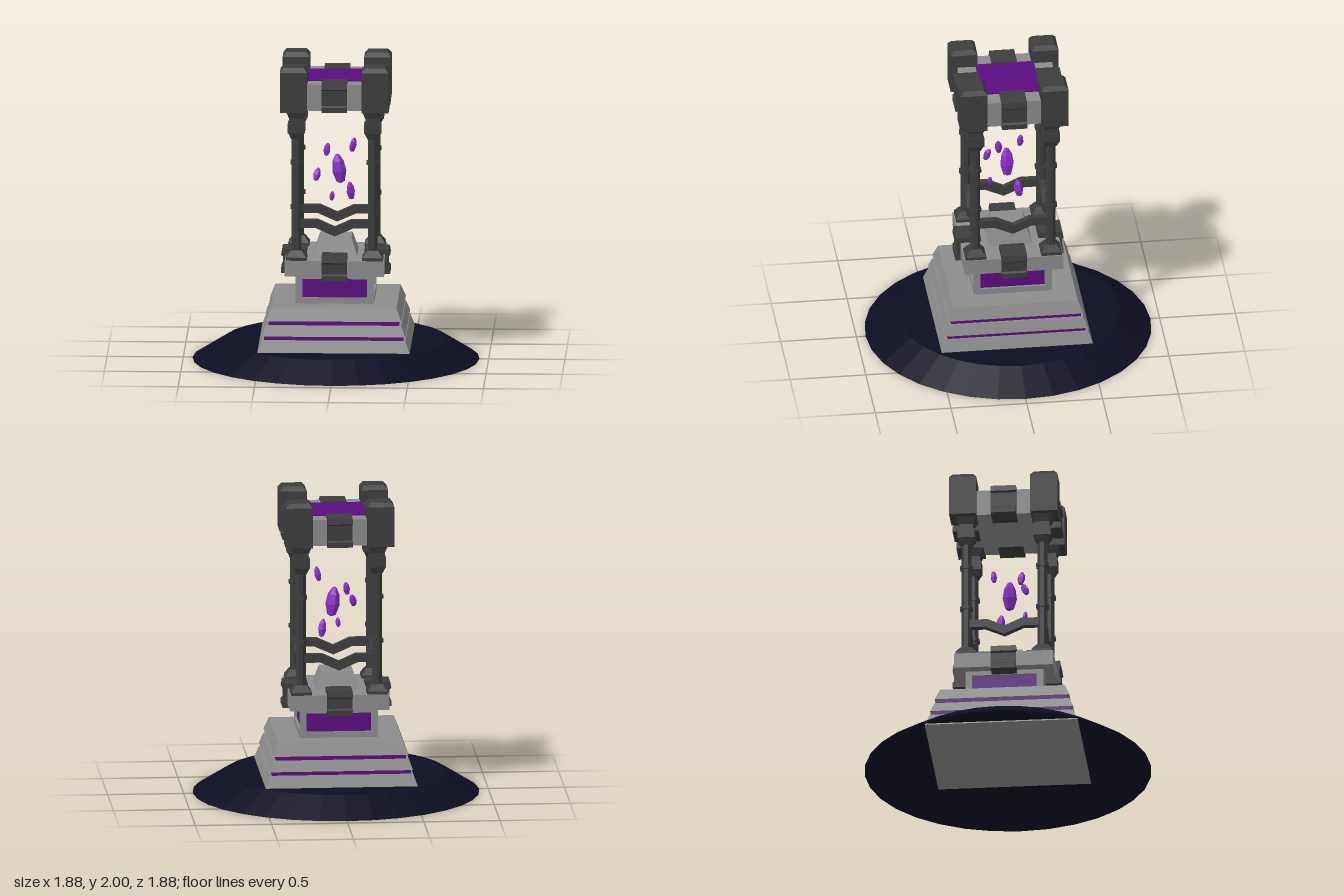
import * as THREE from 'three';

const mat = (name, color, extra = {}) => {
  const m = new THREE.MeshStandardMaterial({ color, flatShading: true, ...extra });
  m.name = name;
  return m;
};

export function createModel() {
  const model = new THREE.Group();
  const stone = mat('grey stone', 0x8c8c8c);
  const iron = mat('charcoal iron', 0x3d3d3d);
  const ground = mat('midnight ground', 0x0d0d22, { side: THREE.DoubleSide });
  const glow = mat('deep purple', 0x5c0d80);
  const crystalMat = mat('bright violet', 0x8a2fc8);

  const add = (parent, name, geo, material, x = 0, y = 0, z = 0) => {
    const mesh = new THREE.Mesh(geo, material);
    mesh.name = name;
    mesh.position.set(x, y, z);
    parent.add(mesh);
    return mesh;
  };
  // Square frustum from y0 to y1 with half widths b (bottom) and t (top)
  const frustum = (parent, name, material, y0, y1, b, t, x = 0, z = 0) => {
    const geo = new THREE.CylinderGeometry(t * Math.SQRT2, b * Math.SQRT2, y1 - y0, 4);
    geo.rotateY(Math.PI / 4);
    return add(parent, name, geo, material, x, (y0 + y1) / 2, z);
  };
  // Prism of a profile, centred on its depth
  const extrude = (shape, depth) => {
    const geo = new THREE.ExtrudeGeometry(shape, { depth, bevelEnabled: false });
    return geo.translate(0, 0, -depth / 2);
  };
  const polygon = (pts) => new THREE.Shape(pts.map(([x, y]) => new THREE.Vector2(x, y)));

  // Sloping round mound, open underneath
  const mound = [[0.94, 0], [0.73, 0.13], [0, 0.13]].map(([x, y]) => new THREE.Vector2(x, y));
  add(model, 'groundMound', new THREE.LatheGeometry(mound, 32), ground);

  // Stepped base with glowing grooves
  frustum(model, 'baseTierLower', stone, 0.12, 0.207, 0.503, 0.47);
  frustum(model, 'baseGrooveLower', glow, 0.207, 0.233, 0.456, 0.456);
  frustum(model, 'baseTierMiddle', stone, 0.233, 0.302, 0.47, 0.443);
  frustum(model, 'baseGrooveUpper', glow, 0.302, 0.33, 0.428, 0.428);
  frustum(model, 'baseTierUpper', stone, 0.33, 0.413, 0.443, 0.41);

  // Pedestal, collar and raised altar
  frustum(model, 'pedestalCore', stone, 0.413, 0.61, 0.235, 0.235);
  frustum(model, 'collar', stone, 0.607, 0.71, 0.325, 0.325);
  frustum(model, 'altar', stone, 0.71, 0.825, 0.143, 0.105);

  // Canopy slab with glowing inset
  frustum(model, 'canopySlab', stone, 1.71, 1.885, 0.312, 0.312);
  frustum(model, 'canopyInset', glow, 1.885, 1.893, 0.193, 0.193);

  // C-shaped clamp profile: x is the distance outwards, y is up
  const clampShape = (y0, y1, inner) => polygon([
    [inner, y0], [0.357, y0], [0.357, y0 + 0.035], [0.346, y0 + 0.045],
    [0.346, y1 - 0.05], [0.357, y1 - 0.04], [0.35, y1], [inner, y1],
  ]);
  const frameShape = polygon([[-0.257, 0.413], [0.257, 0.413], [0.257, 0.61], [-0.257, 0.61]]);
  frameShape.holes.push(new THREE.Path(
    [[-0.212, 0.452], [-0.212, 0.577], [0.212, 0.577], [0.212, 0.452]].map(([x, y]) => new THREE.Vector2(x, y))));
  const braceShape = polygon([
    [-0.24, 0.92], [-0.125, 0.92], [0, 0.865], [0.125, 0.92], [0.24, 0.92],
    [0.24, 0.975], [0.11, 0.975], [0, 0.925], [-0.11, 0.975], [-0.24, 0.975],
  ]);
  const lowerClamp = extrude(clampShape(0.58, 0.743, 0.19), 0.166).rotateY(-Math.PI / 2);
  const upperClamp = extrude(clampShape(1.705, 1.9, 0.187), 0.166).rotateY(-Math.PI / 2);
  const frame = extrude(frameShape, 0.022);
  const brace = extrude(braceShape, 0.045);

  // Parts repeated on each of the four sides
  for (let i = 0; i < 4; i++) {
    const side = new THREE.Group();
    side.name = 'side' + (i + 1);
    side.rotation.y = i * Math.PI / 2;
    add(side, 'pedestalFrame', frame, stone, 0, 0, 0.246);
    add(side, 'pedestalPanel', new THREE.BoxGeometry(0.424, 0.125, 0.006), glow, 0, 0.5145, 0.237);
    add(side, 'collarClamp', lowerClamp, iron);
    add(side, 'canopyClamp', upperClamp, iron);
    add(side, 'brace', brace, iron, 0, 0, 0.25);
    model.add(side);
  }

  // Corner columns with plinths, rings, capitals and chamfered caps
  for (const sx of [-1, 1]) for (const sz of [-1, 1]) {
    const column = new THREE.Group();
    column.name = 'column';
    const x = 0.25 * sx, z = 0.25 * sz;
    frustum(column, 'columnPlinth', iron, 0.71, 0.73, 0.068, 0.068, x, z);
    frustum(column, 'columnFoot', iron, 0.73, 0.772, 0.066, 0.036, x, z);
    add(column, 'columnShaft', new THREE.CylinderGeometry(0.034, 0.034, 0.79, 8).rotateY(Math.PI / 8), iron, x, 1.155, z);
    for (const y of [1.06, 1.355]) {
      add(column, 'columnRing', new THREE.CylinderGeometry(0.044, 0.044, 0.025, 8).rotateY(Math.PI / 8), iron, x, y, z);
    }
    frustum(column, 'capitalTaper', iron, 1.515, 1.557, 0.034, 0.052, x, z);
    frustum(column, 'capitalBlock', iron, 1.557, 1.622, 0.056, 0.056, x, z);
    frustum(column, 'capitalNeck', iron, 1.622, 1.655, 0.048, 0.048, x, z);
    frustum(column, 'capitalFlare', iron, 1.655, 1.708, 0.048, 0.068, x, z);
    frustum(column, 'cornerBlock', iron, 1.705, 1.972, 0.089, 0.089, 0.267 * sx, 0.267 * sz);
    frustum(column, 'cornerCap', iron, 1.972, 2, 0.089, 0.066, 0.267 * sx, 0.267 * sz);
    model.add(column);
  }

  // Floating crystals: x, y, z, height, width, tilt about x, tilt about z
  const gem = [[0, -0.5], [0.3, -0.43], [0.5, -0.08], [0.4, 0.25], [0.16, 0.46], [0, 0.5]]
    .map(([x, y]) => new THREE.Vector2(x, y));
  const gemGeo = new THREE.LatheGeometry(gem, 6);
  const crystals = [
    [0.02, 1.268, 0.01, 0.2, 0.096, 0.03, 0.12],
    [0.115, 1.44, 0.078, 0.1, 0.05, 0.1, -0.2],
    [-0.062, 1.375, -0.088, 0.088, 0.045, -0.1, -0.15],
    [-0.12, 1.25, 0.122, 0.09, 0.05, -0.35, -0.2],
    [0.094, 1.107, -0.057, 0.122, 0.06, 0.12, 0.12],
    [-0.022, 1.105, 0.115, 0.065, 0.034, 0.1, -0.12],
  ];
  crystals.forEach(([x, y, z, h, w, tx, tz], i) => {
    const c = add(model, i ? 'smallCrystal' : 'mainCrystal', gemGeo, crystalMat, x, y, z);
    c.scale.set(w, h, w);
    c.rotation.set(tx, i * 0.7 + 0.3, tz, 'XZY');
  });

  return model;
}
